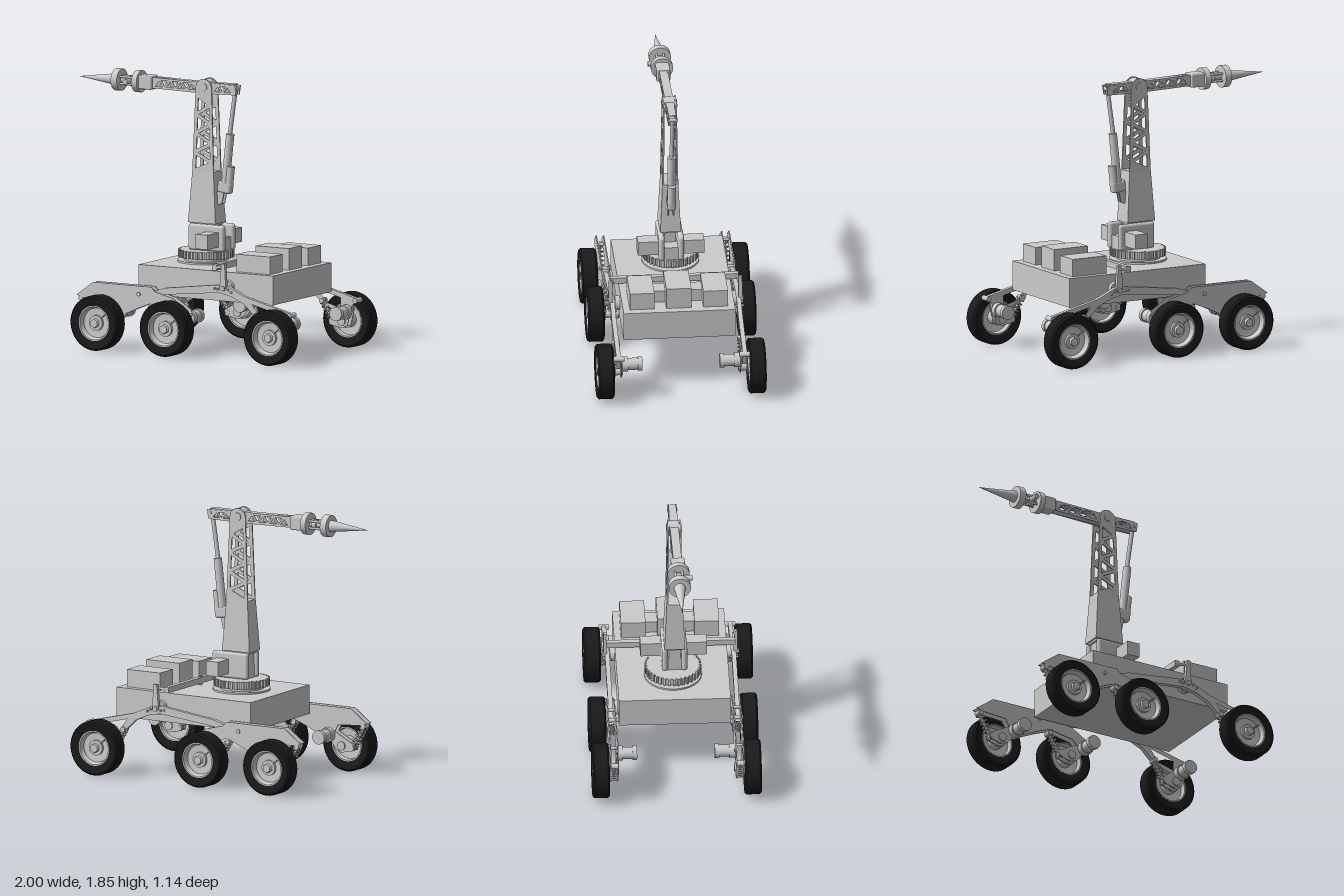
import * as THREE from 'three';
import { RoundedBoxGeometry } from 'three/addons/geometries/RoundedBoxGeometry.js';
import { toCreasedNormals } from 'three/addons/utils/BufferGeometryUtils.js';

const grey = new THREE.MeshStandardMaterial({ color: 0xcccccc });
const greyThin = new THREE.MeshStandardMaterial({ color: 0xcccccc, side: THREE.DoubleSide });
const rubber = new THREE.MeshStandardMaterial({ color: 0x1a1a1a });
const V = (x, y, z) => new THREE.Vector3(x, y, z);
const lerp = THREE.MathUtils.lerp;

function add(parent, name, geo, mat = grey) {
  const m = new THREE.Mesh(geo, mat);
  m.name = name;
  parent.add(m);
  return m;
}
// Box given by its extents
const box = (p, name, x0, x1, y0, y1, z0, z1) =>
  add(p, name, new THREE.BoxGeometry(x1 - x0, y1 - y0, Math.abs(z1 - z0)))
    .position.set((x0 + x1) / 2, (y0 + y1) / 2, (z0 + z1) / 2);
// Cylinder or cone running from a to b
function rod(p, name, a, b, r0, r1 = r0, sides = 24) {
  const d = b.clone().sub(a);
  const m = add(p, name, new THREE.CylinderGeometry(r1, r0, d.length(), sides));
  m.position.copy(a).addScaledVector(d, 0.5);
  m.quaternion.setFromUnitVectors(V(0, 1, 0), d.normalize());
  return m;
}
const vec2s = pts => pts.map(q => new THREE.Vector2(q[0], q[1]));
// Flat plate in the xy plane between two z values
function plate(p, name, pts, z0, z1, holes = []) {
  const s = new THREE.Shape(vec2s(pts));
  s.holes = holes.map(h => new THREE.Path(vec2s(h)));
  const g = new THREE.ExtrudeGeometry(s, { depth: Math.abs(z1 - z0), bevelEnabled: false });
  g.translate(0, 0, Math.min(z0, z1));
  return add(p, name, g);
}
// Triangular cut-outs between two edges, each given as a function of t in 0..1
function trussHoles(n, edgeA, edgeB, k = 0.68) {
  const pts = Array.from({ length: n + 2 }, (_, i) => (i % 2 ? edgeA : edgeB)(i / (n + 1)));
  return Array.from({ length: n }, (_, i) => {
    const t = pts.slice(i, i + 3);
    const c = [0, 1].map(j => (t[0][j] + t[1][j] + t[2][j]) / 3);
    return t.map(q => [lerp(c[0], q[0], k), lerp(c[1], q[1], k)]);
  });
}
const lathe = (pts, seg = 48) =>
  toCreasedNormals(new THREE.LatheGeometry(vec2s(pts), seg).rotateX(Math.PI / 2), 0.6);

function makeWheel(parent, x, s) {
  const w = new THREE.Group();
  w.name = 'wheel';
  w.position.set(x, 0.187, s * 0.513);
  if (s < 0) w.rotation.y = Math.PI;
  parent.add(w);
  add(w, 'tyre', lathe([[0.118, -0.045], [0.15, -0.055], [0.175, -0.057], [0.187, -0.045], [0.187, 0.045],
    [0.175, 0.057], [0.15, 0.055], [0.118, 0.045], [0.118, -0.045]]), rubber);
  add(w, 'rim', lathe([[0.118, -0.046], [0.11, -0.046], [0.105, -0.01], [0.05, -0.005], [0.05, 0.008],
    [0.1, 0.012], [0.112, 0.048], [0.12, 0.048]]), greyThin);
  rod(w, 'hub', V(0, 0, -0.06), V(0, 0, 0.028), 0.052);
  rod(w, 'hubNut', V(0, 0, 0.028), V(0, 0, 0.05), 0.034, 0.03, 6);
  rod(w, 'valveStem', V(0.035, 0.03, 0.02), V(0.08, 0.066, 0.03), 0.004, 0.004, 8);
}

// Coil spring over a damper
function makeSpring(parent, a, b) {
  const d = b.clone().sub(a), n = V(-d.y, d.x, 0).normalize();
  const pts = Array.from({ length: 61 }, (_, i) => {
    const t = i / 60, f = t * Math.PI * 12;
    return a.clone().addScaledVector(d, t).addScaledVector(n, 0.024 * Math.cos(f)).add(V(0, 0, 0.024 * Math.sin(f)));
  });
  add(parent, 'coilSpring', new THREE.TubeGeometry(new THREE.CatmullRomCurve3(pts), 140, 0.006, 6));
  rod(parent, 'damper', a, b, 0.011);
  for (const q of [a, b]) rod(parent, 'springEye', q.clone().add(V(0, 0, -0.028)), q.clone().add(V(0, 0, 0.028)), 0.018);
}

// One side of the running gear; s is the sign of z
function makeSide(root, s) {
  const g = new THREE.Group();
  g.name = 'runningGear';
  root.add(g);
  const pin = (name, x, y, z0, z1, r, sides) => rod(g, name, V(x, y, s * z0), V(x, y, s * z1), r, r, sides);
  // Rocker with its rear leg
  plate(g, 'rocker', [[-0.29, 0.375], [-0.16, 0.42], [-0.07, 0.45], [0.35, 0.503], [0.43, 0.497], [0.57, 0.435],
    [0.92, 0.35], [0.94, 0.33], [0.89, 0.3], [0.87, 0.23], [0.82, 0.23], [0.66, 0.29], [0.56, 0.385],
    [0.46, 0.43], [0.36, 0.45], [-0.07, 0.405], [-0.26, 0.36]], s * 0.412, s * 0.443,
    [[[0.62, 0.39], [0.8, 0.345], [0.8, 0.275], [0.69, 0.305]]]);
  // Twin bogie plates
  for (const z of [0.395, 0.445]) {
    plate(g, 'bogiePlate', [[-0.76, 0.355], [-0.63, 0.45], [-0.17, 0.45], [-0.14, 0.42], [0.0, 0.385], [0.12, 0.31],
      [0.11, 0.23], [0.07, 0.23], [0.0, 0.3], [-0.18, 0.335], [-0.27, 0.3], [-0.38, 0.25], [-0.44, 0.215],
      [-0.48, 0.23], [-0.53, 0.33], [-0.7, 0.34]], s * z, s * (z + 0.008));
  }
  pin('bogiePivot', -0.265, 0.395, 0.38, 0.462, 0.014);
  for (const [x, y] of [[-0.6, 0.4], [-0.18, 0.42]]) pin('bogieSpacer', x, y, 0.396, 0.452, 0.01);
  pin('rearKnob', 0.925, 0.335, 0.39, 0.462, 0.018);
  // Main pivot and bolts
  pin('mainPivot', 0.395, 0.483, 0.37, 0.462, 0.018);
  pin('pivotFlange', 0.395, 0.483, 0.376, 0.41, 0.05);
  for (const [x, y] of [[0.33, 0.478], [0.355, 0.475], [0.435, 0.475], [0.46, 0.46]])
    pin('bolt', x, y, 0.4, 0.458, 0.008, 6);
  // Upright lever tied to the cross bar
  plate(g, 'lever', [[0.37, 0.48], [0.385, 0.65], [0.41, 0.65], [0.42, 0.48]], s * 0.427, s * 0.452);
  rod(g, 'leverLink', V(0.31, 0.615, s * 0.425), V(0.4, 0.625, s * 0.425), 0.009);
  // Wheels with drive motor, swing arm and spring
  for (const [ax, mx, top] of [[-0.555, -0.455, [-0.725, 0.335]], [-0.008, 0.09, [-0.175, 0.315]], [0.815, 0.85, [0.655, 0.315]]]) {
    makeWheel(g, ax, s);
    pin('axle', ax, 0.187, 0.39, 0.46, 0.03);
    pin('motor', mx, 0.255, 0.27, 0.4, 0.041);
    pin('motorCap', mx, 0.255, 0.262, 0.292, 0.048);
    pin('motorFlange', mx, 0.255, 0.36, 0.4, 0.05);
    for (const z of [0.403, 0.447])
      plate(g, 'swingArm', [[mx + 0.04, 0.28], [mx - 0.03, 0.29], [ax - 0.1, 0.2], [ax - 0.1, 0.16], [ax, 0.14],
        [ax + 0.045, 0.16]], s * (z - 0.003), s * (z + 0.004));
    makeSpring(g, V(top[0], top[1], s * 0.425), V(ax - 0.08, 0.18, s * 0.425));
  }
}

function makeArm(root) {
  const arm = new THREE.Group();
  arm.name = 'arm';
  arm.rotation.y = 0.012;
  arm.position.z = 0.008;
  root.add(arm);
  // Shoulder
  box(arm, 'shoulderCore', -0.08, 0.16, 0.665, 0.76, -0.06, 0.06);
  for (const s of [-1, 1]) {
    const cheek = add(arm, 'shoulderCheek', new RoundedBoxGeometry(0.28, 0.18, 0.04, 3, 0.019));
    cheek.position.set(0.04, 0.757, s * 0.066);
    box(arm, 'shoulderMotor', 0.045, 0.14, 0.7, 0.8, s * 0.08, s * 0.225);
  }
  // Tapered post foot
  box(arm, 'postNeck', -0.08, 0.075, 0.74, 0.86, -0.04, 0.04);
  const foot = new THREE.BoxGeometry(1, 0.35, 1).toNonIndexed(), p = foot.attributes.position;
  for (let i = 0; i < p.count; i++) {
    const t = p.getY(i) / 0.35 + 0.5;
    p.setX(i, p.getX(i) * lerp(0.215, 0.166, t));
    p.setZ(i, p.getZ(i) * lerp(0.14, 0.108, t));
  }
  foot.computeVertexNormals();
  add(arm, 'postFoot', foot).position.y = 1.027;
  box(arm, 'postCollar', -0.095, 0.095, 0.838, 0.856, -0.055, 0.055);
  // Lattice post sides with rounded heads
  const cap = Array.from({ length: 13 }, (_, i) => [0.062 * Math.cos(i * Math.PI / 12), 1.77 + 0.062 * Math.sin(i * Math.PI / 12)]);
  const side = t => lerp(0.073, 0.052, t), up = t => lerp(1.2, 1.72, t);
  for (const s of [-1, 1]) {
    const m = plate(arm, 'postSide', [[-0.083, 1.2], [0.083, 1.2], ...cap], -0.005, 0.005,
      trussHoles(7, t => [side(t), up(t)], t => [-side(t), up(t)]));
    // Lean inward toward the top
    const q = m.geometry.attributes.position;
    for (let i = 0; i < q.count; i++) q.setZ(i, q.getZ(i) + s * lerp(0.049, 0.04, (q.getY(i) - 1.2) / 0.63));
  }
  rod(arm, 'elbowPin', V(0, 1.775, -0.052), V(0, 1.775, 0.052), 0.028);
  rod(arm, 'elbowDrum', V(0, 1.775, -0.034), V(0, 1.775, 0.034), 0.052);

  // Lattice boom
  const front = trussHoles(7, t => [lerp(-0.4, -0.06, t), 1.8], t => [lerp(-0.4, -0.06, t), 1.745]);
  const back = trussHoles(3, t => [lerp(0.06, 0.215, t), 1.79], t => [lerp(0.06, 0.215, t), 1.745]);
  for (const s of [-1, 1])
    plate(arm, 'boomSide', [[-0.42, 1.737], [0, 1.73], [0.24, 1.735], [0.25, 1.8], [0, 1.805], [-0.42, 1.812]],
      s * 0.022, s * 0.029, [...front, ...back]);
  for (const y of [1.737, 1.802]) box(arm, 'boomFlange', -0.42, 0.23, y, y + 0.006, -0.026, 0.026);
  rod(arm, 'boomEndPin', V(0.23, 1.775, -0.034), V(0.23, 1.775, 0.034), 0.014);

  // Wrist and pointed tool
  const wrist = add(arm, 'wristBox', new RoundedBoxGeometry(0.11, 0.094, 0.094, 2, 0.01));
  wrist.position.set(-0.465, 1.773, 0);
  const along = (name, x0, x1, r0, r1, n) => rod(arm, name, V(x0, 1.773, 0), V(x1, 1.773, 0), r0, r1, n);
  along('wristDisc', -0.51, -0.55, 0.075, 0.075, 32);
  along('wristShaft', -0.55, -0.67, 0.02, 0.02, 16);
  along('wristHub', -0.575, -0.605, 0.034, 0.034, 12);
  for (let i = 0; i < 4; i++) {
    const a = Math.PI / 4 + i * Math.PI / 2, y = 1.773 + 0.034 * Math.sin(a), z = 0.034 * Math.cos(a);
    rod(arm, 'wristFinger', V(-0.54, y, z), V(-0.67, y, z), 0.009, 0.009, 8);
  }
  rod(arm, 'wristKnob', V(-0.59, 1.773, 0.03), V(-0.59, 1.773, 0.09), 0.018);
  along('toolDisc', -0.665, -0.712, 0.075, 0.075, 32);
  along('toolCone', -0.71, -0.995, 0.04, 0.001, 24);

  // Linear actuator behind the post
  for (const z of [-0.018, 0.018])
    plate(arm, 'actuatorBracket', [[0.08, 0.97], [0.13, 0.99], [0.145, 1.06], [0.12, 1.08], [0.08, 1.06]], z - 0.004, z + 0.004);
  rod(arm, 'actuatorTube', V(0.143, 1.1, 0), V(0.183, 1.465, 0), 0.028);
  rod(arm, 'actuatorRod', V(0.18, 1.46, 0), V(0.226, 1.78, 0), 0.015, 0.015, 16);
  const gear = add(arm, 'actuatorGearbox', new RoundedBoxGeometry(0.105, 0.08, 0.056, 3, 0.018));
  gear.position.set(0.145, 1.1, 0);
  gear.rotation.z = -0.11;
  rod(arm, 'actuatorMotor', V(0.172, 1.1, 0), V(0.188, 1.245, 0), 0.028);
}

export function createModel() {
  const root = new THREE.Group();
  root.name = 'rover';
  // Chassis and equipment boxes
  box(root, 'chassis', -0.315, 0.748, 0.385, 0.585, -0.378, 0.378);
  box(root, 'middleCase', 0.432, 0.695, 0.585, 0.732, -0.085, 0.085);
  for (const s of [-1, 1]) {
    box(root, 'sideCase', 0.432, 0.695, 0.585, 0.705, s * 0.165, s * 0.332);
    box(root, 'caseLink', 0.49, 0.6, 0.585, 0.67, s * 0.08, s * 0.17);
    makeSide(root, s);
  }
  // Cross bar joining both rockers
  box(root, 'crossBar', 0.3, 0.335, 0.597, 0.637, -0.435, 0.435);
  rod(root, 'crossBarPivot', V(0.318, 0.58, 0), V(0.318, 0.645, 0), 0.016);
  // Turntable with toothed ring
  const disc = (name, y0, y1, r) => rod(root, name, V(-0.01, y0, 0), V(-0.01, y1, 0), r, r, 48);
  disc('turntableBase', 0.583, 0.597, 0.195);
  disc('turntableNeck', 0.595, 0.62, 0.15);
  disc('turntableRing', 0.617, 0.668, 0.178);
  for (let i = 0; i < 36; i++) {
    const a = i / 36 * Math.PI * 2;
    const t = add(root, 'ringTooth', new THREE.BoxGeometry(0.024, 0.051, 0.017));
    t.position.set(-0.01 + 0.179 * Math.cos(a), 0.6425, 0.179 * Math.sin(a));
    t.rotation.y = -a;
  }
  makeArm(root);
  return root;
}
